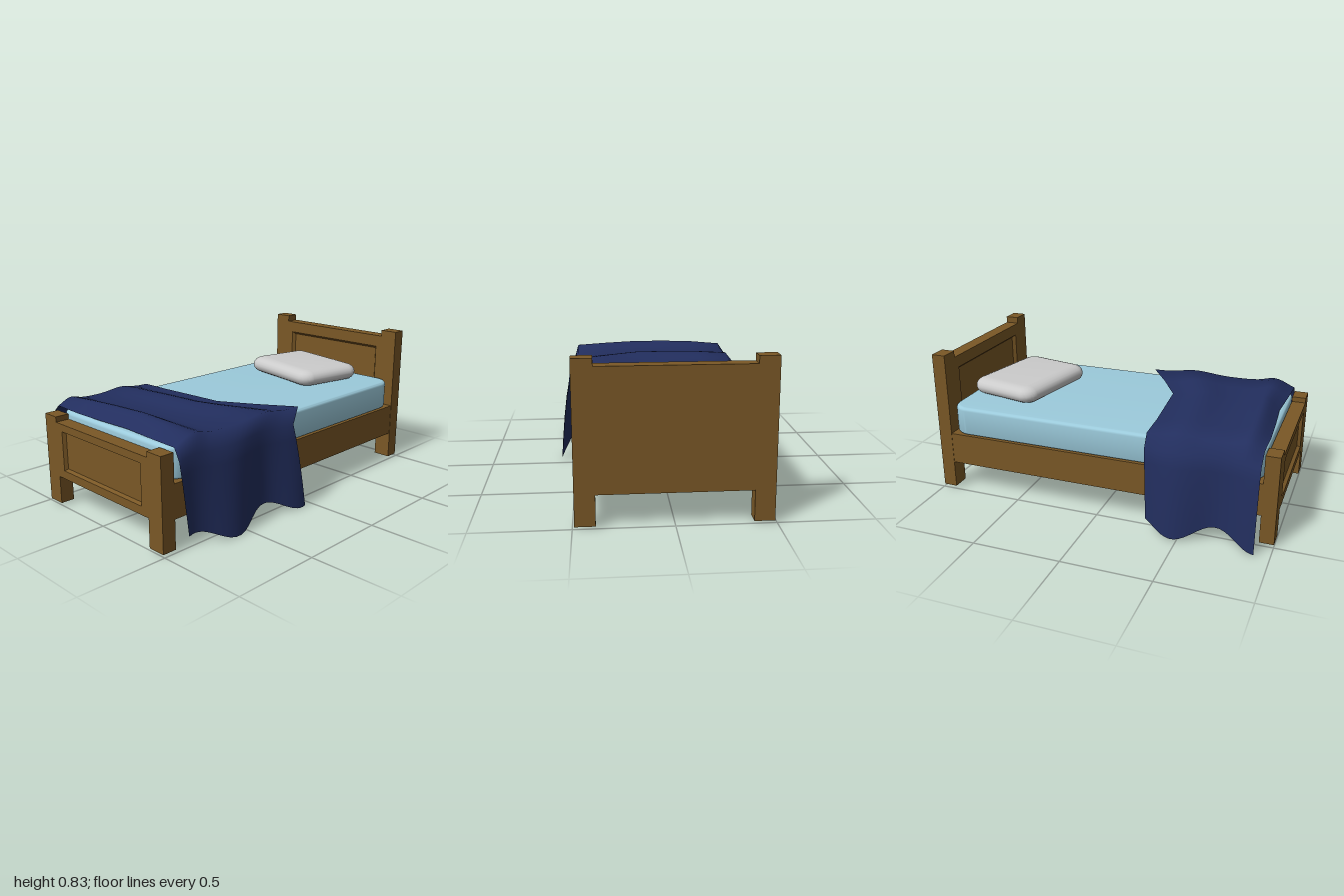
import * as THREE from 'three';
import { mergeVertices, toCreasedNormals } from 'three/addons/utils/BufferGeometryUtils.js';

const wood = new THREE.MeshStandardMaterial({ color: 0x7a5826 });
const sheet = new THREE.MeshStandardMaterial({ color: 0x9ccbdc });
const grey = new THREE.MeshStandardMaterial({ color: 0xcccccc });
const navy = new THREE.MeshStandardMaterial({ color: 0x222e5e, side: THREE.DoubleSide });

function part(name, geometry, material, x = 0, y = 0, z = 0) {
  const mesh = new THREE.Mesh(geometry, material);
  mesh.name = name;
  mesh.position.set(x, y, z);
  return mesh;
}

const corners = (x, y0, y1) => [[-x, y0], [x, y0], [x, y1], [-x, y1]];
const polygon = (pts, Type = THREE.Shape) => new Type(pts.map(p => new THREE.Vector2(...p)));

// End board with two posts, legs and a recessed panel with sloped edges
function endBoard(name, postTop, railTop, panel, slope, z) {
  const foot = 0.015, under = 0.175, w = 0.49, p = 0.387, recess = 0.02, depth = 0.08;
  const outline = [[-w, foot], [-p, foot], [-p, under], [p, under], [p, foot], [w, foot],
    [w, postTop], [p, postTop], [p, railTop], [-p, railTop], [-p, postTop], [-w, postTop]];
  const group = new THREE.Group();
  group.name = name;
  group.position.z = z;

  const back = new THREE.ExtrudeGeometry(polygon(outline), { depth: depth - recess, bevelEnabled: false });
  const frame = polygon(outline);
  frame.holes.push(polygon(corners(...panel), THREE.Path));
  const front = new THREE.ExtrudeGeometry(frame, { depth: recess, bevelEnabled: false });
  group.add(part(name + 'Back', back, wood), part(name + 'Frame', front, wood, 0, 0, depth - recess));

  const [px, y0, y1] = panel;
  const outer = corners(px, y0, y1), inner = corners(px - slope, y0 + slope, y1 - slope);
  const pos = [];
  for (let i = 0; i < 4; i++) {
    const j = (i + 1) % 4;
    const a = [...outer[i], depth], b = [...outer[j], depth];
    const c = [...inner[j], depth - recess], d = [...inner[i], depth - recess];
    pos.push(...a, ...b, ...c, ...a, ...c, ...d);
  }
  const moulding = new THREE.BufferGeometry();
  moulding.setAttribute('position', new THREE.Float32BufferAttribute(pos, 3));
  moulding.computeVertexNormals();
  group.add(part(name + 'Moulding', moulding, wood));
  return group;
}

// Soft block lying flat: rounded plan outline with rounded top and bottom edges
function cushion(width, length, height, radius, round, edge, angle) {
  const x = width / 2 - round, y = length / 2 - round, r = radius - round;
  const s = new THREE.Shape();
  s.moveTo(-x + r, -y);
  s.absarc(x - r, -y + r, r, -Math.PI / 2, 0);
  s.absarc(x - r, y - r, r, 0, Math.PI / 2);
  s.absarc(-x + r, y - r, r, Math.PI / 2, Math.PI);
  s.absarc(-x + r, -y + r, r, Math.PI, Math.PI * 1.5);
  const g = new THREE.ExtrudeGeometry(s, {
    depth: height - 2 * edge, bevelThickness: edge, bevelSize: round, bevelSegments: 5, curveSegments: 8,
  });
  g.translate(0, 0, edge);
  g.rotateX(-Math.PI / 2);
  return toCreasedNormals(g, angle);
}

// Blanket: a sheet lofted from sections running head to foot, draped over both sides
function blanketGeometry() {
  // Height of the wrinkles from head edge to foot edge
  const wrinkles = new THREE.CatmullRomCurve3([[0, 0.005], [0.12, 0.01], [0.3, 0.045], [0.53, 0.02],
    [0.74, 0.026], [0.87, 0.058], [1, -0.012]].map(([v, h]) => new THREE.Vector3(v, h, 0)));
  // Each section: x, y, head z, foot z, wrinkle strength, hang
  const sections = [];
  const hang = [1, 0.75, 0.5, 0.28, 0.12];
  for (const h of hang) {
    sections.push([-0.53 - 0.05 * Math.sqrt(h), 0.54 - 0.49 * h, 0.29 + 0.02 * h, 0.915, 0.2 * (1 - h), h]);
  }
  sections.push([-0.49, 0.55, 0.29, 0.915, 0.5, 0], [-0.3, 0.55, 0.285, 0.915, 0.8, 0],
    [-0.1, 0.55, 0.27, 0.905, 0.95, 0], [0.1, 0.55, 0.255, 0.89, 1, 0],
    [0.3, 0.55, 0.14, 0.905, 0.85, 0], [0.49, 0.55, 0.015, 0.915, 0.65, 0]);
  for (const h of hang.reverse()) {
    sections.push([0.51 + 0.05 * Math.sqrt(h), 0.54 - 0.495 * h, 0.115 - 0.065 * h, 0.92 - 0.05 * h, 0.2 * (1 - h), h]);
  }

  const n = 28, pos = [], index = [];
  sections.forEach(([x, y, z0, z1, strength, h], i) => {
    for (let k = 0; k <= n; k++) {
      const p = wrinkles.getPoint(k / n);
      const z = THREE.MathUtils.lerp(z0, z1, p.x);
      const wave = x > 0 ? Math.cos((z - 0.08) * Math.PI * 4) : Math.cos((z - 0.47) * Math.PI * 4.44);
      pos.push(x + Math.sign(x) * 0.03 * Math.sqrt(h) * wave, y + strength * p.y - 0.042 * h * h * wave, z);
      if (i > 0 && k > 0) {
        const d = i * (n + 1) + k, c = d - 1, b = d - n - 1, a = b - 1;
        index.push(a, b, d, a, d, c);
      }
    }
  });
  const g = new THREE.BufferGeometry();
  g.setAttribute('position', new THREE.Float32BufferAttribute(pos, 3));
  g.setIndex(index);
  const welded = mergeVertices(g);
  welded.computeVertexNormals();
  return welded;
}

export function createModel() {
  const bed = new THREE.Group();
  bed.name = 'bed';

  bed.add(endBoard('headboard', 0.838, 0.8, [0.35, 0.42, 0.73], 0.015, -1));
  bed.add(endBoard('footboard', 0.52, 0.49, [0.335, 0.222, 0.447], 0.009, 0.92));

  // Solid base between the boards
  bed.add(part('base', new THREE.BoxGeometry(0.976, 0.185, 1.84), wood, 0, 0.2675, 0));

  bed.add(part('mattress', cushion(0.962, 1.836, 0.17, 0.1, 0.02, 0.02, 0.7), sheet, 0, 0.36, 0));

  const pillow = part('pillow', cushion(0.59, 0.45, 0.1, 0.085, 0.07, 0.046, 1.0), grey, -0.01, 0.53, -0.632);
  pillow.rotation.y = -0.2;
  bed.add(pillow);

  bed.add(part('blanket', blanketGeometry(), navy));
  return bed;
}
